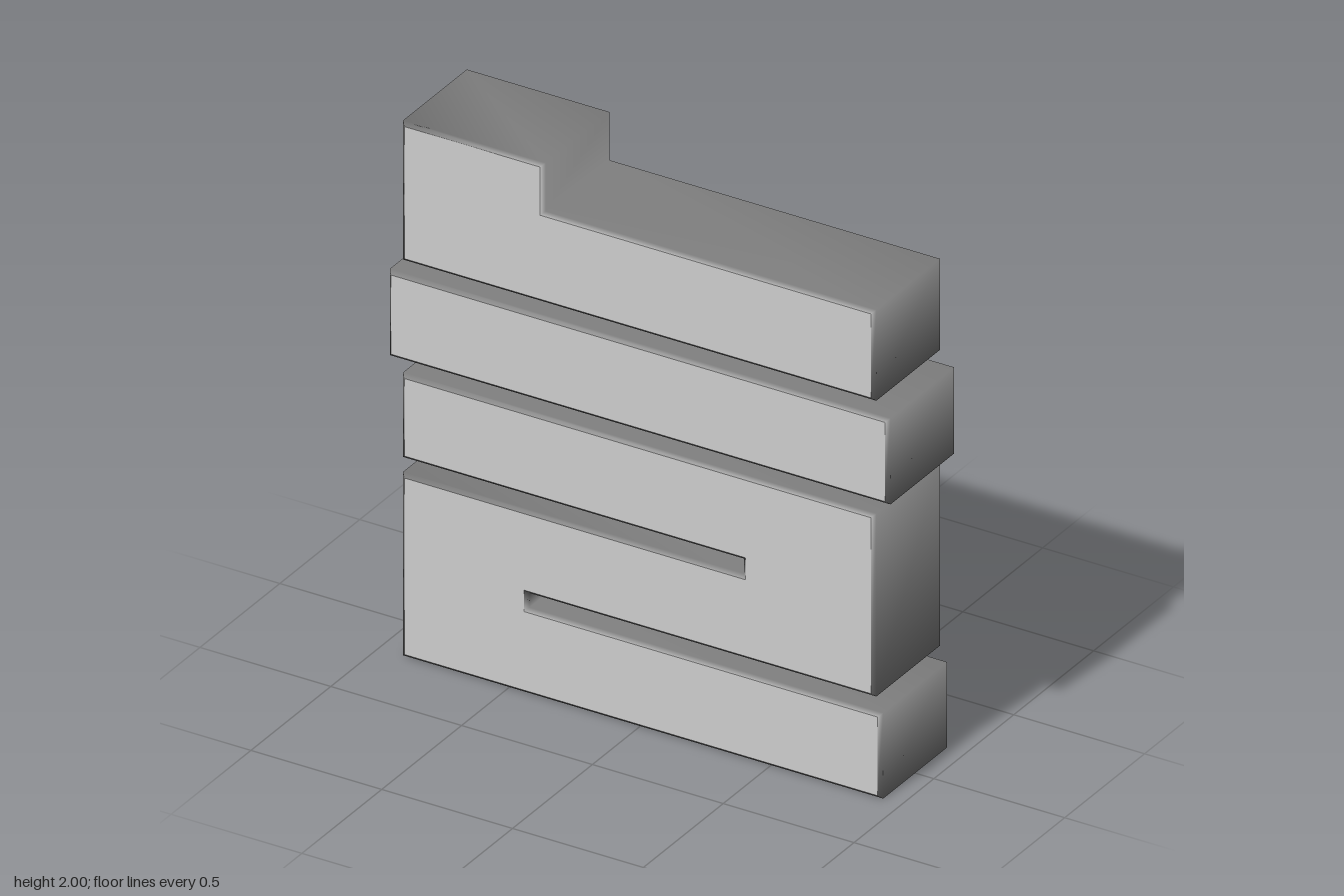
import * as THREE from 'three';
import { mergeVertices } from 'three/addons/utils/BufferGeometryUtils.js';

const DEPTH = 0.425; // full thickness in z
const BEVEL = 0.013;

const faceGrey = new THREE.MeshStandardMaterial({ color: 0xcccccc });
faceGrey.name = 'light grey face';
const sideGrey = new THREE.MeshStandardMaterial({ color: 0x808080 });
sideGrey.name = 'dark grey side';

// Take one material group of an extrusion as its own geometry
function takeGroup(geometry, { start, count }) {
  const part = new THREE.BufferGeometry();
  const positions = geometry.attributes.position.array.slice(start * 3, (start + count) * 3);
  part.setAttribute('position', new THREE.BufferAttribute(positions, 3));
  return part;
}

// Bevelled slab: flat light faces, smoothly shaded dark sides
function slab(name, outline) {
  const shape = new THREE.Shape(outline.map(([x, y]) => new THREE.Vector2(x, y)));
  const solid = new THREE.ExtrudeGeometry(shape, {
    depth: DEPTH - 2 * BEVEL,
    bevelEnabled: true,
    bevelThickness: BEVEL,
    bevelSize: BEVEL,
    bevelOffset: -BEVEL,
    bevelSegments: 1,
  });
  solid.translate(0, 0, BEVEL - DEPTH / 2);

  const faces = takeGroup(solid, solid.groups[0]);
  faces.computeVertexNormals();
  const sides = mergeVertices(takeGroup(solid, solid.groups[1]), 1e-4);
  sides.computeVertexNormals();

  const group = new THREE.Group();
  group.name = name;
  const faceMesh = new THREE.Mesh(faces, faceGrey);
  faceMesh.name = name + 'Faces';
  const sideMesh = new THREE.Mesh(sides, sideGrey);
  sideMesh.name = name + 'Sides';
  group.add(faceMesh, sideMesh);
  return group;
}

export function createModel() {
  const model = new THREE.Group();
  model.name = 'stackedSlabs';

  // Stepped top block
  model.add(slab('topBlock', [
    [-0.907, 1.48], [0.902, 1.48], [0.902, 1.82],
    [-0.362, 1.82], [-0.362, 2], [-0.907, 2],
  ]));

  // Wide plain bar
  model.add(slab('middleBar', [
    [-0.958, 1.108], [0.956, 1.108], [0.956, 1.43], [-0.958, 1.43],
  ]));

  // Folded lower block with one slot from each side
  model.add(slab('foldedBlock', [
    [-0.907, 0], [0.928, 0], [0.928, 0.32], [-0.424, 0.32],
    [-0.424, 0.374], [0.902, 0.374], [0.902, 1.058], [-0.907, 1.058],
    [-0.907, 0.742], [0.396, 0.742], [0.396, 0.686], [-0.907, 0.686],
  ]));

  return model;
}
